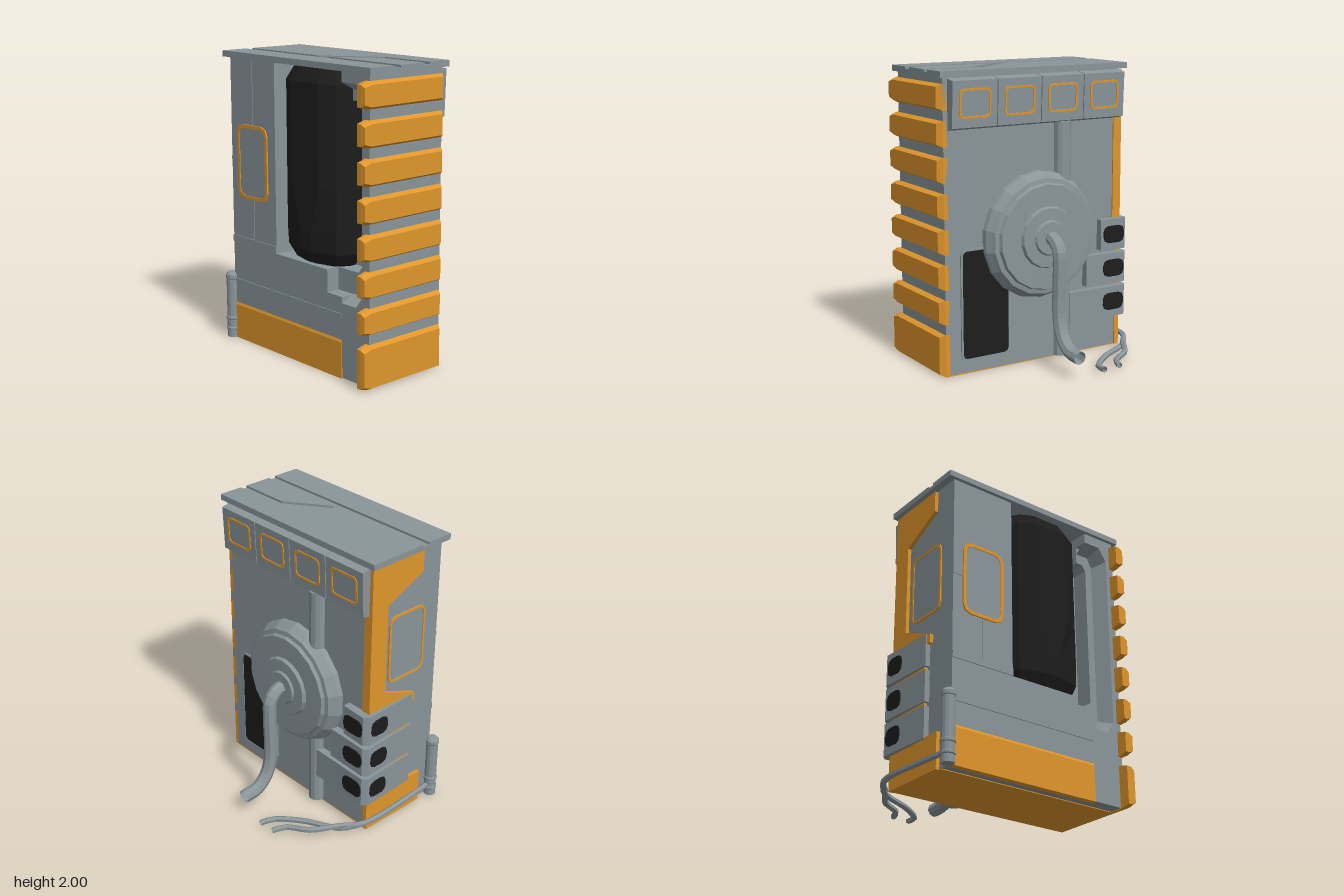
import * as THREE from 'three';

const paint = (name, color) => new THREE.MeshStandardMaterial({ name, color, flatShading: true, side: THREE.DoubleSide });

export function createModel() {
  const model = new THREE.Group();
  model.name = 'utilityCabinet';
  const grey = paint('steel grey', 0x8a959a);
  const orange = paint('orange', 0xe0962b);
  const black = paint('black', 0x1d1d1d);

  const add = (name, geo, mat, x = 0, y = 0, z = 0) => {
    const mesh = new THREE.Mesh(geo, mat);
    mesh.name = name;
    mesh.position.set(x, y, z);
    model.add(mesh);
    return mesh;
  };
  // Box given by its limits on each axis
  const box = (name, mat, x0, x1, y0, y1, z0, z1) =>
    add(name, new THREE.BoxGeometry(x1 - x0, y1 - y0, z1 - z0), mat, (x0 + x1) / 2, (y0 + y1) / 2, (z0 + z1) / 2);
  const shapeOf = (pts) => new THREE.Shape(pts.map(([a, b]) => new THREE.Vector2(a, b)));
  const extrude = (shape, depth) => new THREE.ExtrudeGeometry(shape, { depth, bevelEnabled: false });
  // Extrusion of a (z, y) outline towards -x
  const sideExtrude = (shape, depth) => extrude(shape, depth).rotateY(-Math.PI / 2);
  // Rounded rectangle centred on the origin, three points per corner
  const roundRect = (w, h, r) => {
    const pts = [];
    [[1, 1], [-1, 1], [-1, -1], [1, -1]].forEach(([sx, sy], q) => {
      for (let k = 0; k < 3; k++) {
        const a = (q + k / 2) * Math.PI / 2;
        pts.push([sx * (w / 2 - r) + r * Math.cos(a), sy * (h / 2 - r) + r * Math.sin(a)]);
      }
    });
    return pts;
  };
  const frameShape = (w, h, r, t) => {
    const s = shapeOf(roundRect(w, h, r));
    s.holes.push(shapeOf(roundRect(w - 2 * t, h - 2 * t, r * 0.75)));
    return s;
  };
  // Skin over a row of equal-length rings: capped solid, or an open strip
  const loft = (rings, open = false) => {
    const n = rings[0].length, index = [];
    for (let r = 0; r < rings.length - 1; r++) {
      for (let i = 0; i < (open ? n - 1 : n); i++) {
        const a = r * n + i, b = r * n + (i + 1) % n;
        index.push(a, b, b + n, a, b + n, a + n);
      }
    }
    const top = (rings.length - 1) * n;
    for (let i = 1; i < n - 1 && !open; i++) index.push(0, i + 1, i, top, top + i, top + i + 1);
    const geo = new THREE.BufferGeometry();
    geo.setAttribute('position', new THREE.Float32BufferAttribute(rings.flat(2), 3));
    geo.setIndex(index);
    geo.computeVertexNormals();
    return geo;
  };
  const tube = (name, pts, radius, sides = 8) => {
    const curve = new THREE.CatmullRomCurve3(pts.map((p) => new THREE.Vector3(...p)), false, 'centripetal');
    return add(name, new THREE.TubeGeometry(curve, 24, radius, sides), grey);
  };

  // Cabinet body: solid back, then two front layers stepping in around the recess
  box('bodyBack', grey, -0.665, 0.7, 0.005, 1.96, -0.08, 0.32);
  const outline = (notch) => shapeOf([[-0.665, 0.005], [0.7, 0.005], [0.7, 1.96], ...notch, [-0.665, 1.96]]);
  add('bodyMiddle', extrude(outline([[0.45, 1.96], [0.45, 1.77], [0.5, 1.77], [0.53, 1.73],
    [0.53, 0.73], [0.5, 0.69], [-0.2, 0.69], [-0.2, 1.96]]), 0.12), grey, 0, 0, 0.32);
  const channel = [[0.45, 1.89], [0.58, 1.89], [0.64, 1.8], [0.64, 0.58], [0.58, 0.5], [0.45, 0.5]];
  add('bodyFront', extrude(outline([[0.45, 1.96], ...channel, [0.45, 0.54], [0.31, 0.54],
    [0.31, 0.69], [-0.2, 0.69], [-0.2, 1.96]]), 0.095), grey, 0, 0, 0.44);
  // Sloping wall of the channel beside the recess
  const channelFoot = [[0.45, 1.84], [0.55, 1.84], [0.585, 1.77], [0.585, 0.61], [0.55, 0.545], [0.45, 0.545]];
  add('channelSlope', loft([channel.map(([x, y]) => [x, y, 0.535]), channelFoot.map(([x, y]) => [x, y, 0.441])], true), grey);

  // Front trim
  add('frontKickPlate', sideExtrude(shapeOf([[0.5, 0], [0.542, 0], [0.542, 0.24], [0.53, 0.27], [0.5, 0.27]]), 1.115), orange, 0.45);
  box('frontRail', grey, -0.665, 0.45, 0.41, 0.43, 0.53, 0.541);
  box('frontLedge', grey, -0.665, -0.2, 0.69, 0.74, 0.53, 0.541);
  box('frontSeam', grey, -0.436, -0.43, 0.74, 1.96, 0.53, 0.539);
  box('frontSideSeam', grey, -0.665, -0.59, 1.27, 1.29, 0.53, 0.539);
  add('frontWindowFrame', extrude(frameShape(0.315, 0.505, 0.06, 0.023), 0.012), orange, -0.435, 1.27, 0.533);
  add('frontWindow', extrude(shapeOf(roundRect(0.28, 0.47, 0.04)), 0.006), grey, -0.435, 1.27, 0.534);

  // Black padded canister standing in the recess
  const padRing = ([y, s, f]) => {
    const half = [[f, 0.552], [0.24, 0.5], [0.3, 0.4], [0.3, 0.34], [0.27, 0.321]];
    const ring = [...half, ...half.map(([x, z]) => [-x, z]).reverse()];
    return ring.map(([x, z]) => [0.12 + x * s, y, 0.321 + (z - 0.321) * s]);
  };
  add('canister', loft([[0.695, 0.8, 0.05], [0.78, 0.98, 0.05], [0.9, 1, 0.05], [1.2, 1, 0.13],
    [1.86, 1, 0.13], [1.955, 0.8, 0.13]].map(padRing)), black);

  // Ribs stacked up the left side
  for (let i = 0; i < 8; i++) {
    const y1 = 0.288 + i * 0.233, y0 = i === 0 ? 0 : y1 - 0.168;
    const ring = (x, d) => [[-0.08 + d * 1.5, y0 + d], [-0.08 + d * 1.5, y1 - d], [0.55, y1 - d],
      [0.61 - d * 0.2, y1 - 0.016 - d], [0.61 - d * 0.2, y0 + 0.016 + d], [0.55, y0 + d]].map(([z, y]) => [x, y, z]);
    add('sideRib', loft([ring(0.67, 0), ring(0.7, 0), ring(0.735, 0.018)]), orange);
  }

  // Roof: base slab with raised plates that leave grooves between them
  box('roofSlab', grey, -0.715, 0.73, 1.96, 1.985, -0.11, 0.56);
  const roofPlates = [
    [[-0.715, 0.365], [0.73, 0.365], [0.73, 0.56], [-0.715, 0.56]],
    [[-0.715, -0.11], [0.73, -0.11], [0.73, 0.06], [0.33, 0.06], [-0.02, 0.31], [-0.715, 0.31]],
    [[0.08, 0.31], [0.37, 0.11], [0.73, 0.11], [0.73, 0.31]],
  ];
  for (const pts of roofPlates) add('roofPlate', extrude(shapeOf(pts), 0.018).rotateX(Math.PI / 2), grey, 0, 2);

  // Orange cladding on the right side and underside
  add('sideCladding', sideExtrude(shapeOf([[-0.088, 0.2], [0.28, 0.2], [0.28, 0.86], [0.33, 0.86], [0.33, 0.92],
    [0.05, 1.035], [0.05, 1.66], [0.355, 1.8], [0.355, 1.95], [-0.088, 1.95]]), 0.03), orange, -0.66);
  box('rearCladding', orange, -0.665, -0.625, 0.9, 1.64, -0.088, -0.075);
  box('sideKickPlate', orange, -0.69, -0.655, 0, 0.24, -0.088, 0.42);
  box('underside', orange, -0.66, 0.7, 0, 0.008, -0.08, 0.44);
  add('sideWindowFrame', sideExtrude(frameShape(0.32, 0.48, 0.05, 0.016), 0.012), orange, -0.663, 1.31, 0.25);
  add('sideWindow', sideExtrude(shapeOf(roundRect(0.3, 0.46, 0.04)), 0.006), grey, -0.664, 1.31, 0.25);

  // Vent boxes wrapping the rear right corner
  [-0.5, -0.38, -0.24].forEach((xEnd, i) => {
    const y = 0.82 - i * 0.24;
    const corner = shapeOf([[xEnd, 0.13], [-0.69, 0.143], [-0.72, 0.11], [-0.7, -0.3], [-0.64, -0.3], [-0.64, 0.07], [xEnd, 0.07]]);
    add('ventBox', extrude(corner, 0.215).rotateX(-Math.PI / 2), grey, 0, y - 0.11, 0);
    add('rearVent', extrude(shapeOf(roundRect(0.17, 0.12, 0.04)), 0.008), black, -0.6, y, -0.148);
    add('sideVent', sideExtrude(shapeOf(roundRect(0.15, 0.12, 0.04)), 0.008), black, -0.714, y, -0.02);
  });

  // Rear header with four framed windows
  for (let i = 0; i < 4; i++) {
    const x = -0.5 + i * 0.3345;
    add('headerPanel', sideExtrude(shapeOf([[-0.07, 1.62], [-0.14, 1.64], [-0.152, 1.94], [-0.07, 1.955]]), 0.328), grey, x + 0.164);
    const frame = add('headerWindowFrame', extrude(frameShape(0.23, 0.19, 0.03, 0.014), 0.008), orange, x, 1.795, -0.152);
    frame.rotation.x = -0.04;
  }

  // Rear black panel, vertical duct and stepped disc
  add('rearPanelFrame', extrude(frameShape(0.375, 0.755, 0.04, 0.014), 0.012), grey, 0.4, 0.465, -0.09);
  add('rearPanel', extrude(shapeOf(roundRect(0.355, 0.735, 0.035)), 0.008), black, 0.4, 0.465, -0.087);
  add('rearDuct', new THREE.CylinderGeometry(0.06, 0.06, 1.62, 12), grey, -0.2, 0.82, -0.083);
  const disc = [[0.435, 0.07], [0.43, 0.115], [0.405, 0.155], [0.395, 0.175], [0.365, 0.18], [0.355, 0.203], [0.21, 0.205],
    [0.2, 0.228], [0.12, 0.23], [0.11, 0.245], [0, 0.245]].map(([r, h]) => new THREE.Vector2(r, h));
  add('rearDisc', new THREE.LatheGeometry(disc, 18).rotateX(-Math.PI / 2), grey, -0.01, 0.88, 0);

  // Exhaust pipe
  tube('exhaustPipe', [[-0.01, 0.88, -0.22], [-0.01, 0.88, -0.27], [-0.01, 0.82, -0.335], [-0.01, 0.7, -0.345],
    [-0.01, 0.36, -0.345], [-0.01, 0.23, -0.39], [-0.01, 0.16, -0.47], [-0.01, 0.145, -0.585]], 0.046);

  // Corner post with rings and a domed cap
  const post = [[0, 0], [0.042, 0], [0.042, 0.05], [0.048, 0.055], [0.048, 0.07], [0.042, 0.075], [0.042, 0.125], [0.048, 0.13],
    [0.048, 0.145], [0.042, 0.15], [0.042, 0.42], [0.046, 0.425], [0.046, 0.45], [0.03, 0.47], [0, 0.472]];
  add('cornerPost', new THREE.LatheGeometry(post.map(([r, h]) => new THREE.Vector2(r, h)), 12), grey, -0.69, 0, 0.54);

  // Two cables leaving the post and trailing behind
  const start = [[-0.69, 0.08, 0.5], [-0.705, 0.08, 0.3], [-0.715, 0.08, -0.06], [-0.69, 0.075, -0.15]];
  tube('cableOuter', [...start, [-0.61, 0.07, -0.25], [-0.5, 0.06, -0.42], [-0.36, 0.05, -0.51], [-0.32, 0.045, -0.6]], 0.02, 6);
  tube('cableInner', [...start, [-0.61, 0.05, -0.25], [-0.37, 0.035, -0.37], [-0.22, 0.03, -0.5], [-0.2, 0.04, -0.6]], 0.02, 6);

  return model;
}
